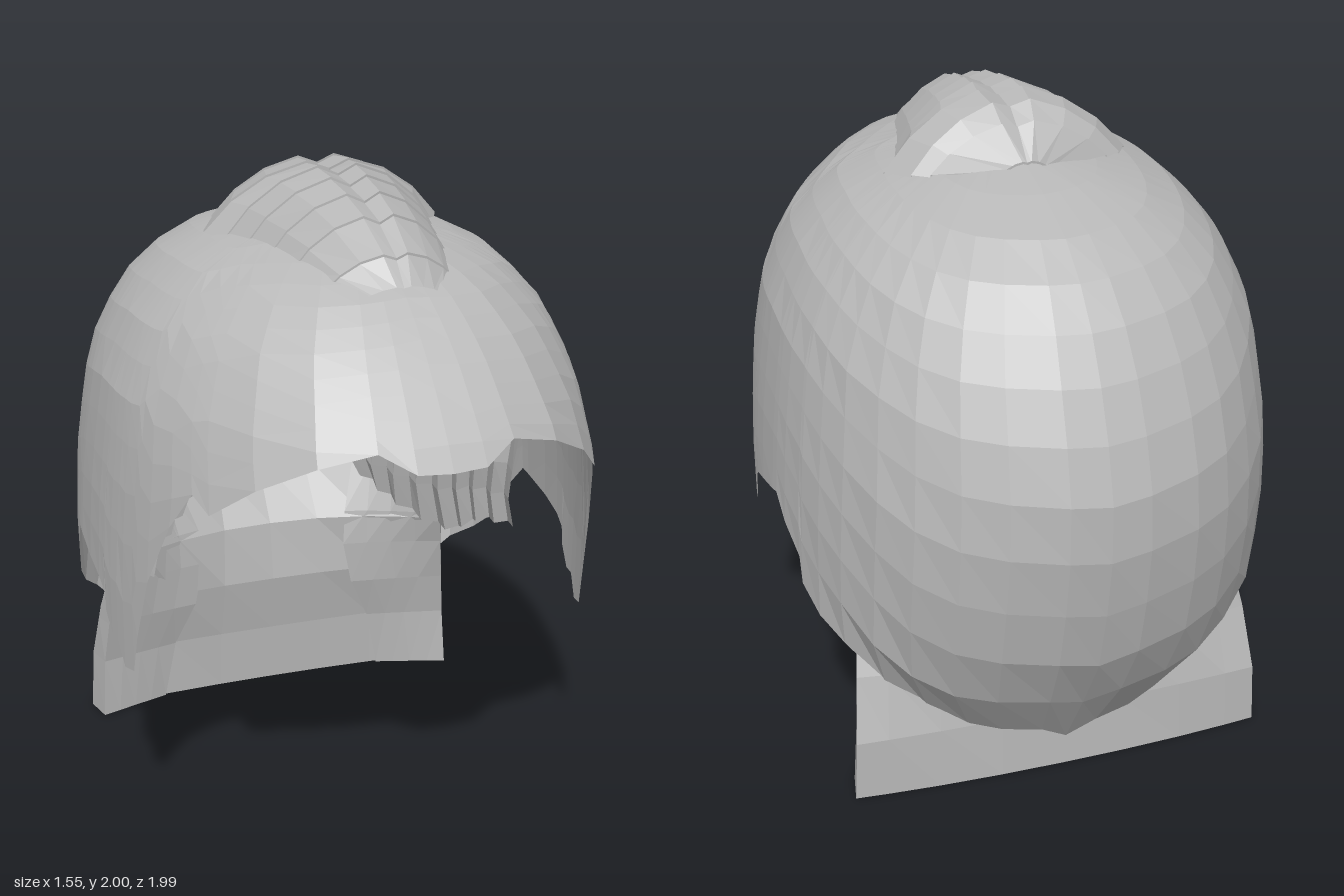
import * as THREE from 'three';

const hairMat = new THREE.MeshStandardMaterial({ color: 0xb8b8b8, flatShading: true, side: THREE.DoubleSide });
hairMat.name = 'hair grey';

// Faceted sheet through rows of [x, y, z] points
function sheet(name, rows) {
  const pos = [];
  for (let i = 0; i < rows.length - 1; i++) {
    for (let j = 0; j < rows[i].length - 1; j++) {
      const a = rows[i][j], b = rows[i][j + 1], c = rows[i + 1][j + 1], d = rows[i + 1][j];
      pos.push(...a, ...d, ...c, ...a, ...c, ...b);
    }
  }
  const geo = new THREE.BufferGeometry();
  geo.setAttribute('position', new THREE.Float32BufferAttribute(pos, 3));
  geo.computeVertexNormals();
  const mesh = new THREE.Mesh(geo, hairMat);
  mesh.name = name;
  return mesh;
}

// Linear lookup in a table of [key, ...values] with ascending keys
function lookup(table, key) {
  let i = 0;
  while (i < table.length - 2 && key > table[i + 1][0]) i++;
  const a = table[i], b = table[i + 1];
  const t = Math.min(1, Math.max(0, (key - a[0]) / (b[0] - a[0])));
  return a.slice(1).map((v, k) => v + (b[k + 1] - v) * t);
}

// Dome: height -> half width, front reach, back reach
const TOP = 1.86;
const dome = [
  [1.86, 0, 0, 0], [1.84, 0.18, 0.24, 0.27], [1.8, 0.34, 0.48, 0.42], [1.74, 0.475, 0.635, 0.6],
  [1.6, 0.62, 0.8, 0.765], [1.4, 0.715, 0.965, 0.89], [1.34, 0.725, 1.0, 0.92], [1.2, 0.745, 1.1, 0.965],
  [1.08, 0.76, 1.1, 1.0], [0.85, 0.775, 1.1, 0.985], [0.57, 0.775, 1.1, 0.92], [0.42, 0.74, 1.1, 0.85],
  [0.25, 0.62, 1.0, 0.72], [0.12, 0.5, 0.9, 0.65],
].map(([y, ...r]) => [Math.sqrt(TOP - y), ...r]);

// Ragged hem: angle from the front in degrees -> height
const hem = [
  [0, 1.34], [8, 1.345], [16, 1.4], [29, 1.36], [42, 1.28], [52, 1.18], [56, 1.22], [61, 1.1], [66.5, 0.9],
  [70, 0.7], [71.5, 0.58], [74.7, 0.57], [77, 0.64], [79.5, 0.64], [82, 0.7], [82.6, 0.76], [85, 0.79],
  [90, 0.82], [96, 0.85], [98, 0.86], [102, 0.79], [108, 0.72], [109, 0.63], [115, 0.56], [122, 0.5],
  [131, 0.38], [140, 0.27], [150, 0.21], [160, 0.19], [172, 0.18], [180, 0.12],
];
// Smooth version of the hem that guides the rows above it
const softHem = [[0, 1.36], [45, 1.26], [61, 1.08], [72, 0.78], [90, 0.78], [110, 0.64], [125, 0.46], [145, 0.25], [180, 0.16]];

function domePoint(deg, y) {
  const a = THREE.MathUtils.degToRad(deg);
  const [w, f, b] = lookup(dome, Math.sqrt(Math.max(0, TOP - y)));
  const c = Math.cos(a), s = Math.sin(a);
  const fuller = c > 0.5 ? 1 + 0.04 * Math.sin(3 * a) ** 2 : 1; // blunter brow
  const z = c >= 0 ? f * c * fuller : -b * Math.pow(-c, 0.92);
  return [w * Math.sign(s) * Math.pow(Math.abs(s), c < 0 ? 0.94 : 1), y, z];
}

function makeCap() {
  const half = hem.slice(1, -1);
  const ring = [...hem, ...half.map(([a, y]) => [360 - a, y]).reverse(), [360, hem[0][1]]];
  const rows = [];
  const n = 13;
  for (let i = 0; i <= n; i++) {
    const t = i / n, k = Math.cos(t * Math.PI / 2);
    rows.push(ring.map(([a, y]) => {
      const [soft] = lookup(softHem, Math.min(a, 360 - a));
      const low = soft + (y - soft) * t ** 5;
      return domePoint(a, low + (TOP - low) * k);
    }));
  }
  return sheet('hairCap', rows);
}

// Crest on the crown: [z, half width, crest height, edge height, sweep]
function makeCrest() {
  const sections = [
    [0.63, 0.12, 1.76, 1.73, 0.01], [0.57, 0.2, 1.84, 1.74, 0.04], [0.44, 0.25, 1.92, 1.76, 0.06],
    [0.32, 0.28, 1.96, 1.77, 0.07], [0.2, 0.31, 1.985, 1.78, 0.07], [0.1, 0.335, 2.0, 1.79, 0.07],
    [0.02, 0.375, 2.0, 1.8, 0.07], [-0.09, 0.32, 1.995, 1.82, 0.06], [-0.16, 0.27, 1.95, 1.825, 0.02],
    [-0.25, 0.07, 1.86, 1.83, -0.01],
  ];
  const across = [[0, 0.88], [0.18, 1], [0.5, 0.8], [0.78, 0.45], [1, 0]];
  const profile = [...across.slice(1).reverse().map(([f, h]) => [-f, h]), ...across];
  const rows = [];
  sections.forEach(([z, w, top, edge, sweep], i) => {
    const row = (drop) => profile.map(([f, h]) =>
      [f * w, edge + (top - edge) * h - drop, z - sweep * Math.abs(f)]);
    if (i > 0) rows.push(row(0.007)); // small step between overlapping plates
    rows.push(row(0));
  });
  return sheet('crownCrest', rows.reverse());
}

// Neck hair: height -> edge x, edge z, centre z
const neck = [
  [0, 0.66, -0.6, -0.63], [0.2, 0.65, -0.6, -0.62], [0.4, 0.63, -0.54, -0.59],
  [0.6, 0.6, -0.46, -0.62], [0.8, 0.57, -0.46, -0.76], [1.0, 0.56, -0.55, -0.92],
];

function makeNeck() {
  const steps = [-1, -0.85, -0.6, -0.3, 0, 0.3, 0.6, 0.85, 1];
  const layer = ([y, ex, ez, cz], inset) => steps.map((u) =>
    [u * (ex - inset), y, cz + (ez - cz) * Math.pow(Math.abs(u), 2.2) + inset]);
  const loop = (r, t) => {
    const outer = layer(r, 0);
    return [...outer, ...layer(r, t).reverse(), outer[0]];
  };
  // the zero-thickness end rows close the top and bottom edges
  const rows = [loop(neck[0], 0), ...neck.map((r) => loop(r, 0.03)), loop(neck[5], 0)];
  return sheet('neckHair', rows);
}

// Flap over each side of the neck hair: height -> inner x, outer gap
function makeFlap(side) {
  const inner = [
    [0, 0.4, 0.1], [0.2, 0.36, 0.09], [0.35, 0.29, 0.07], [0.5, 0.26, 0.05], [0.62, 0.27, 0.05], [0.78, 0.32, 0.05],
  ];
  const rows = inner.map(([y, ix, gap]) => {
    const [ex, ez, cz] = lookup(neck, y);
    const front = [0, 0.25, 0.5, 0.75, 1].map((t) => {
      const x = ix + (ex - 0.02 - ix) * t;
      return [side * x, y, cz + (ez - cz) * Math.pow(x / ex, 2.2) + 0.04 + (gap - 0.04) * t];
    });
    return [...front, [side * ex, y, ez]]; // last column wraps round the outer edge
  });
  return sheet(side > 0 ? 'leftNeckFlap' : 'rightNeckFlap', rows);
}

// Pleated inner locks hanging beside the face
function makeLock(side) {
  const paths = [
    [[0.31, 1.42, -0.4], [0.4, 1.43, -0.3], [0.48, 1.42, -0.2], [0.55, 1.4, -0.05], [0.61, 1.28, 0.15]],
    [[0.31, 1.2, -0.44], [0.41, 1.2, -0.35], [0.51, 1.2, -0.25], [0.58, 1.2, -0.08], [0.62, 1.15, 0.14]],
    [[0.29, 0.95, -0.48], [0.41, 0.98, -0.39], [0.51, 0.97, -0.28], [0.57, 0.97, -0.1], [0.6, 0.97, 0.12]],
    [[0.27, 0.86, -0.5], [0.4, 0.8, -0.41], [0.53, 0.76, -0.32], [0.58, 0.82, -0.14], [0.6, 0.87, 0.1]],
    [[0.32, 0.77, -0.52], [0.42, 0.68, -0.43], [0.57, 0.6, -0.34], [0.6, 0.7, -0.15], [0.62, 0.77, 0.1]],
  ];
  const rows = paths.map((p) => {
    const curve = new THREE.CatmullRomCurve3(p.map((q) => new THREE.Vector3(...q)));
    return curve.getPoints(16).map((v, j) => {
      const fold = j % 2 ? 0.015 : -0.015;
      return [side * (v.x + fold), v.y, v.z - fold];
    });
  });
  return sheet(side > 0 ? 'leftInnerLock' : 'rightInnerLock', rows);
}

export function createModel() {
  const group = new THREE.Group();
  group.name = 'hair';
  group.add(makeCap(), makeCrest(), makeNeck());
  for (const side of [1, -1]) group.add(makeFlap(side), makeLock(side));
  return group;
}
